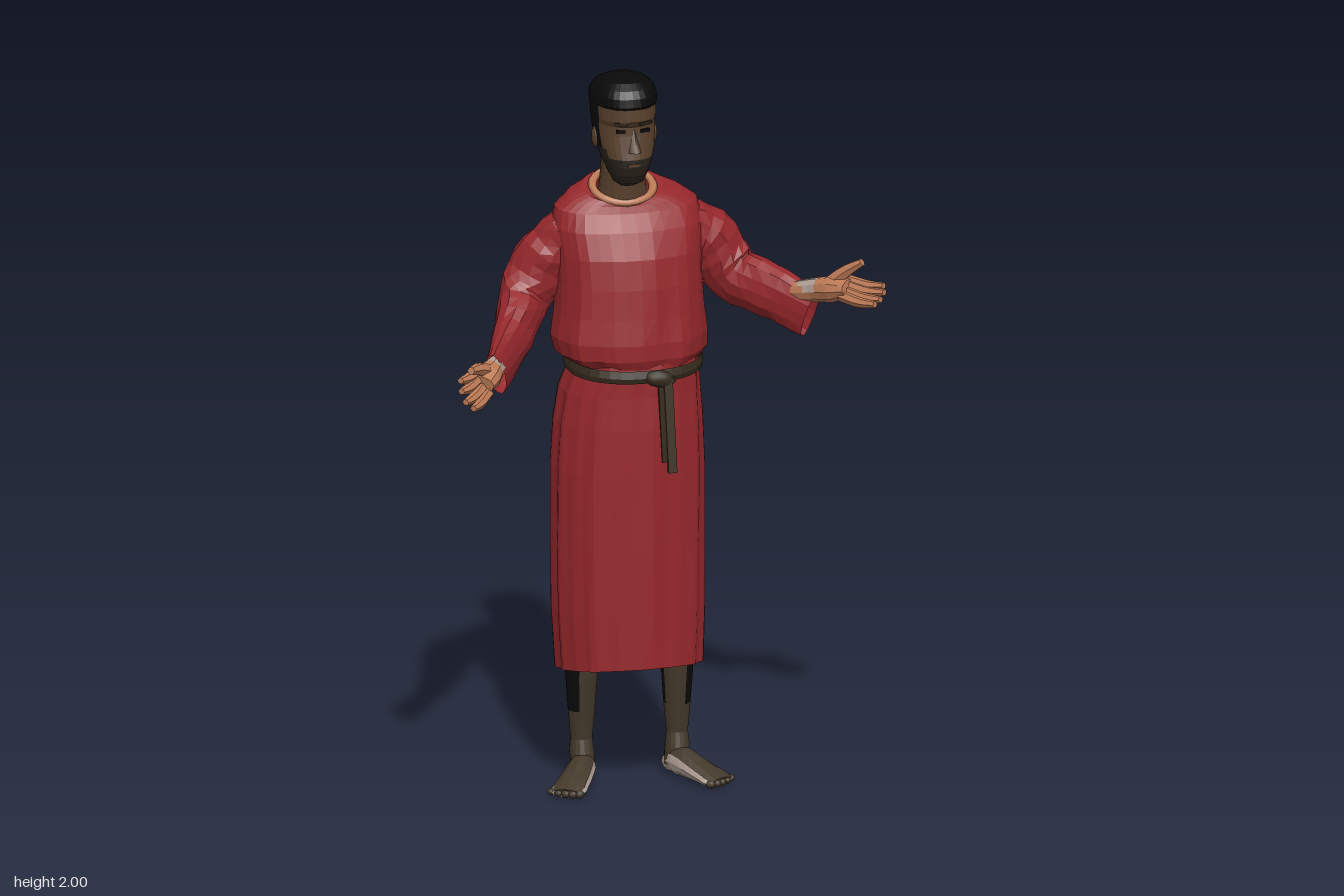
import * as THREE from 'three';

const V = (x, y, z) => new THREE.Vector3(x, y, z);
const paint = (name, color, open) => {
  const m = new THREE.MeshStandardMaterial({ color });
  m.name = name;
  if (open) m.side = THREE.DoubleSide;
  return m;
};

export function createModel() {
  const model = new THREE.Group();
  model.name = 'robedMan';
  const robe = paint('robeRed', 0x95272b, true);
  const maroon = paint('foldMaroon', 0x4c1c1d, true);
  const olive = paint('beltOlive', 0x352b1d, true);
  const face = paint('faceBrown', 0x573f2b);
  const leg = paint('legBrown', 0x43382a);
  const hand = paint('handSkin', 0xbd7a56);
  const hair = paint('hairBlack', 0x090909);
  const beard = paint('beardDark', 0x282119);
  const pale = paint('paleSkin', 0xb09f96);

  const add = (name, geo, mat, pos, parent = model) => {
    const m = new THREE.Mesh(geo, mat);
    m.name = name;
    if (pos) m.position.copy(pos);
    parent.add(m);
    return m;
  };

  // Faceted skin over rings of { c, u, v }; pick(point, angle) gives each face its colour
  function skin(name, rings, n, pick, shape = () => 1, e = 1) {
    const pw = (t) => Math.sign(t) * Math.abs(t) ** e;
    const grid = rings.map((r, i) => Array.from({ length: n + 1 }, (_, j) => {
      const a = ((j % n) / n) * Math.PI * 2;
      const s = shape(a, i / (rings.length - 1));
      const p = r.c.clone().addScaledVector(r.u, pw(Math.cos(a)) * s).addScaledVector(r.v, pw(Math.sin(a)) * s);
      p.y += (r.tilt || 0) * (p.z - r.c.z);
      return p;
    }));
    const buckets = new Map();
    for (let i = 0; i < rings.length - 1; i++) for (let j = 0; j < n; j++) {
      const [p, q, r, s] = [grid[i][j], grid[i][j + 1], grid[i + 1][j], grid[i + 1][j + 1]];
      const mid = V(0, 0, 0).add(p).add(q).add(r).add(s).multiplyScalar(0.25);
      const mat = pick.isMaterial ? pick : pick(mid, ((j + 0.5) / n) * 360);
      if (!buckets.has(mat)) buckets.set(mat, []);
      for (const k of [p, r, q, q, r, s]) buckets.get(mat).push(k.x, k.y, k.z);
    }
    const group = new THREE.Group();
    group.name = name;
    for (const [mat, pos] of buckets) {
      const g = new THREE.BufferGeometry();
      g.setAttribute('position', new THREE.Float32BufferAttribute(pos, 3));
      g.computeVertexNormals();
      add(name + '_' + mat.name, g, mat, null, group);
    }
    model.add(group);
  }

  // Upright ring: height, centre x, front z, back z, half width, tilt
  const ring = ([y, x, f, b, rx, tilt = 0]) =>
    ({ c: V(x, y, (f + b) / 2), u: V(rx, 0, 0), v: V(0, 0, (f - b) / 2), tilt });
  const closed = (r) => {
    const dot = (k) => ({ ...k, u: V(0, 0, 0), v: V(0, 0, 0) });
    return [dot(r[0]), ...r, dot(r[r.length - 1])];
  };

  // Limb along a curve; points are [x, y, z, half width, half height]
  function limb(name, pts, steps, n, pick, shape, cap = true) {
    const curve = new THREE.CatmullRomCurve3(pts.map((p) => V(p[0], p[1], p[2])));
    const rings = [];
    for (let i = 0; i <= steps; i++) {
      const t = i / steps, k = Math.min(t * (pts.length - 1), pts.length - 1.0001), a = Math.floor(k);
      const mix = (d) => pts[a][d] + (pts[a + 1][d] - pts[a][d]) * (k - a);
      const dir = curve.getTangent(t);
      const side = V(0, 1, 0).cross(dir).normalize();
      rings.push({ c: curve.getPoint(t), u: side.clone().multiplyScalar(mix(3)), v: side.cross(dir).multiplyScalar(mix(4)) });
    }
    skin(name, cap ? closed(rings) : rings, n, pick, shape);
  }

  // Extra fullness at the two back corners of the clothes
  const corner = (a) => (Math.sin(a) < 0 ? Math.abs(Math.sin(2 * a)) : 0);

  // Long skirt with folds and a darker sunken pleat on each side
  const leftPleat = (d) => d > 310 && d < 336, rightPleat = (d) => d > 194 && d < 225;
  skin('skirt', [
    [0.335, -0.045, 0.06, -0.235, 0.195, 0.17], [0.5, -0.047, 0.058, -0.243, 0.203, 0.06],
    [0.7, -0.048, 0.056, -0.247, 0.205], [0.9, -0.048, 0.053, -0.249, 0.206], [1.03, -0.047, 0.05, -0.248, 0.2],
    [1.12, -0.044, 0.045, -0.243, 0.19], [1.17, -0.038, 0.045, -0.232, 0.179], [1.21, -0.035, 0.04, -0.225, 0.173],
  ].map(ring), 60, (p, d) => leftPleat(d) ? maroon : rightPleat(d) ? olive : robe, (a, t) => {
    const d = (a * 180) / Math.PI;
    const sunk = leftPleat(d) || rightPleat(d) ? 0.03 : 0;
    return 1 - sunk + (0.13 - 0.09 * t) * corner(a) + 0.016 * Math.sin(9 * a + 2 * t) + 0.012 * Math.sin(17 * a + 1 + 3 * t);
  }, 0.88);
  const lining = add('skirtLining', new THREE.CircleGeometry(1, 24).rotateX(Math.PI / 2), hair, V(-0.046, 0.4, -0.09));
  lining.scale.set(0.185, 1, 0.135);

  // Bloused tunic top
  skin('tunic', [
    [1.2, -0.035, 0.04, -0.225, 0.175], [1.225, -0.043, 0.05, -0.24, 0.203], [1.27, -0.046, 0.05, -0.245, 0.21],
    [1.34, -0.044, 0.04, -0.245, 0.202], [1.42, -0.043, 0.03, -0.245, 0.198], [1.5, -0.044, 0.015, -0.245, 0.2],
    [1.57, -0.045, -0.015, -0.238, 0.207], [1.625, -0.047, -0.043, -0.226, 0.197, -0.1], [1.655, -0.052, -0.05, -0.21, 0.158, -0.25],
    [1.675, -0.06, -0.052, -0.195, 0.11, -0.4], [1.674, -0.062, -0.055, -0.185, 0.078, -0.45],
  ].map(ring), 36, robe, (a, t) => 1 + (1 - t) * (0.04 * corner(a) + 0.022 * Math.sin(8 * a + 3 * t) + 0.015 * Math.sin(13 * a + 5 * t)), 0.92);
  const collar = add('collar', new THREE.TorusGeometry(0.083, 0.012, 6, 28).rotateX(Math.PI / 2), hand, V(-0.06, 1.676, -0.117));
  collar.scale.set(1, 0.8, 0.88);
  collar.rotation.x = 0.42;

  // Belt, knot and hanging ends
  skin('belt', [[1.18, -0.037, 0.055, -0.24, 0.186, -0.1], [1.195, -0.036, 0.06, -0.242, 0.188, -0.1],
    [1.215, -0.036, 0.054, -0.238, 0.185, -0.1]].map(ring), 36, olive, (a) => 1 + 0.03 * corner(a), 0.9);
  add('beltKnot', new THREE.IcosahedronGeometry(0.03, 1).scale(1.5, 0.8, 0.6), olive, V(0.0, 1.175, 0.052)).rotation.z = -0.2;
  [[0.012, 0.24, 0.052, olive], [0.027, 0.27, 0.058, leg]].forEach(([x, len, z, mat]) => {
    add('beltEnd', new THREE.BoxGeometry(0.024, len, 0.012), mat, V(x, 1.18 - len / 2, z)).rotation.z = 0.05;
  });

  // Wide sleeves with wrinkles
  const wrinkle = (a, t) => 1 + 0.05 * Math.sin(t * 34 + 2 * Math.sin(a)) * (1 - t * 0.6) + 0.03 * Math.sin(5 * a + t * 9);
  limb('leftSleeve', [[0.09, 1.55, -0.135, 0.07, 0.075], [0.175, 1.505, -0.145, 0.072, 0.085], [0.25, 1.405, -0.128, 0.064, 0.08],
    [0.33, 1.37, -0.05, 0.052, 0.078], [0.42, 1.322, 0.045, 0.026, 0.072]], 16, 14, robe, wrinkle, false);
  limb('rightSleeve', [[-0.18, 1.56, -0.14, 0.072, 0.076], [-0.255, 1.48, -0.165, 0.074, 0.084], [-0.322, 1.37, -0.16, 0.068, 0.082],
    [-0.38, 1.29, -0.065, 0.052, 0.08], [-0.453, 1.218, 0.04, 0.026, 0.075]], 16, 14, robe, wrinkle, false);

  // Open hands: palm, four fingers and a thumb
  function openHand(side, wrist, knuckle, tips, thumb) {
    const w = V(...wrist), k = V(...knuckle), m = w.clone().lerp(k, 0.55);
    const back = w.clone().lerp(k, -0.5);
    const wristPale = (p) => (p.distanceTo(w) < 0.042 && p.y > w.y + 0.006 ? pale : hand);
    limb(side + 'Palm', [[...back.toArray(), 0.024, 0.028], [...wrist, 0.028, 0.033], [...m.toArray(), 0.042, 0.036],
      [...knuckle, 0.042, 0.024]], 9, 10, wristPale);
    const centre = tips.reduce((s, t) => s.add(V(...t)), V(0, 0, 0)).multiplyScalar(0.25);
    tips.forEach((t) => {
      const tip = V(...t);
      const base = k.clone().lerp(m, 0.25).add(tip.clone().sub(centre).multiplyScalar(0.8));
      const bend = base.clone().lerp(tip, 0.55).add(V(0, -0.006, 0));
      limb(side + 'Finger', [[...base.toArray(), 0.016, 0.017], [...bend.toArray(), 0.0145, 0.015], [...t, 0.01, 0.009]], 5, 6, hand);
    });
    const root = w.clone().lerp(k, 0.3), joint = root.clone().lerp(V(...thumb), 0.55).add(V(0, 0.008, 0));
    limb(side + 'Thumb', [[...root.toArray(), 0.026, 0.026], [...joint.toArray(), 0.019, 0.019], [...thumb, 0.011, 0.011]], 5, 6, hand);
  }
  openHand('left', [0.425, 1.395, 0.06], [0.505, 1.42, 0.145],
    [[0.583, 1.438, 0.206], [0.58, 1.425, 0.224], [0.566, 1.41, 0.238], [0.548, 1.4, 0.247]], [0.535, 1.495, 0.16]);
  openHand('right', [-0.46, 1.24, 0.05], [-0.52, 1.222, 0.125],
    [[-0.583, 1.247, 0.16], [-0.585, 1.222, 0.177], [-0.577, 1.195, 0.191], [-0.557, 1.178, 0.198]], [-0.555, 1.274, 0.165]);

  // Neck
  skin('neck', [[1.62, -0.062, -0.05, -0.19, 0.075], [1.68, -0.063, -0.047, -0.175, 0.064], [1.74, -0.064, -0.045, -0.16, 0.059],
    [1.82, -0.065, -0.05, -0.155, 0.06]].map(ring), 20, face);

  // Head with cropped hair and a full beard
  const headPaint = (p) => {
    if (p.y > 1.925 || (p.z < -0.05 && p.y > 1.81) || (p.z < -0.1 && p.y > 1.77)) return hair;
    if (p.z > -0.1 && p.y < (p.z > -0.02 ? 1.786 : 1.81)) return beard;
    return face;
  };
  skin('head', closed([
    [1.7, -0.03, -0.07, 0.022], [1.715, 0, -0.09, 0.042], [1.74, 0.015, -0.11, 0.053], [1.765, 0.021, -0.135, 0.063],
    [1.786, 0.02, -0.152, 0.071], [1.81, 0.014, -0.168, 0.078], [1.85, 0.006, -0.192, 0.083], [1.875, 0.004, -0.205, 0.084],
    [1.89, 0.014, -0.212, 0.085], [1.925, 0.012, -0.217, 0.087], [1.932, 0.018, -0.217, 0.089], [1.955, 0.014, -0.208, 0.087],
    [1.975, 0.002, -0.187, 0.077], [1.99, -0.02, -0.155, 0.057], [2, -0.06, -0.11, 0.025],
  ].map(([y, f, b, r]) => ring([y, -0.064, f, b, r]))), 32, headPaint, undefined, 0.9);
  add('nose', new THREE.ConeGeometry(0.018, 0.066, 4).scale(1, 1, 1.4), face, V(-0.06, 1.838, 0.01)).rotation.x = -0.15;
  add('mouth', new THREE.BoxGeometry(0.036, 0.007, 0.008), face, V(-0.062, 1.772, 0.019));
  for (const s of [-1, 1]) {
    add('eye', new THREE.BoxGeometry(0.026, 0.009, 0.008), hair, V(-0.062 + s * 0.034, 1.863, 0.0)).rotation.y = s * 0.25;
    add('eyebrow', new THREE.BoxGeometry(0.036, 0.008, 0.009), beard, V(-0.062 + s * 0.034, 1.886, 0.007)).rotation.y = s * 0.25;
    add('ear', new THREE.IcosahedronGeometry(0.028, 1).scale(0.35, 1.1, 0.65), face, V(-0.064 + s * 0.081, 1.83, -0.085));
  }

  // Bare legs and feet with pale soles, turned outwards
  for (const [side, s, x] of [['left', 1, 0.098], ['right', -1, -0.168]]) {
    const X = (d) => x + s * d;
    skin(side + 'Leg', [[0.03, X(-0.005), -0.1, -0.178, 0.032], [0.08, X(0), -0.105, -0.176, 0.034], [0.12, X(0), -0.115, -0.172, 0.03],
      [0.2, X(0), -0.108, -0.18, 0.037], [0.3, X(0), -0.098, -0.188, 0.044], [0.4, X(0), -0.092, -0.18, 0.045]].map(ring),
    16, (p) => (p.y > 0.2 && (p.z < -0.135 || (p.x - x) * s > 0.02) ? hair : leg));
    limb(side + 'Foot', [[X(-0.014), 0.026, -0.17, 0.025, 0.026], [X(0.002), 0.042, -0.12, 0.036, 0.042], [X(0.038), 0.03, -0.055, 0.044, 0.03],
      [X(0.07), 0.018, -0.005, 0.05, 0.018], [X(0.082), 0.013, 0.016, 0.042, 0.013]], 12, 12, (p, d) => (d > 195 && d < 345 ? leg : pale));
    for (let i = 0; i < 5; i++) {
      add(side + 'Toe', new THREE.IcosahedronGeometry(0.015 - i * 0.001, 1).scale(1, 0.85, 1.3), leg,
        V(X(0.05 + i * 0.017), 0.013, 0.022 - i * i * 0.0025));
    }
  }
  return model;
}
